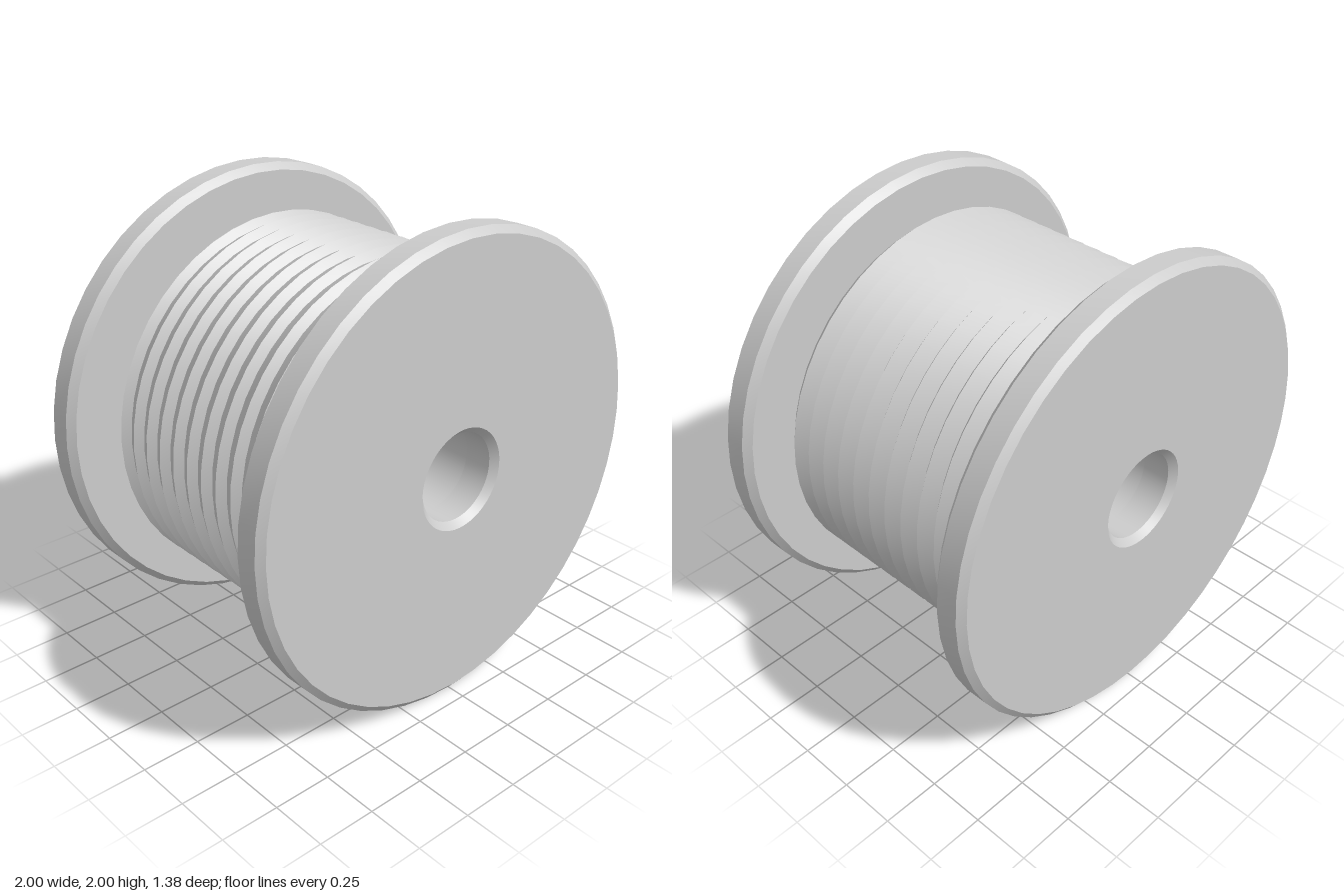
import * as THREE from 'three';
import { toCreasedNormals } from 'three/addons/utils/BufferGeometryUtils.js';

const SIDES = 48;
const BORE = 0.187;

// Turns a closed [radius, z] profile around the z axis, keeping its corners sharp.
function turned(name, profile, material) {
  const points = [...profile, profile[0]].map(([r, z]) => new THREE.Vector2(r, z));
  const geometry = new THREE.LatheGeometry(points, SIDES);
  geometry.rotateX(Math.PI / 2);
  const mesh = new THREE.Mesh(toCreasedNormals(geometry, 0.3), material);
  mesh.name = name;
  return mesh;
}

export function createModel() {
  const grey = new THREE.MeshStandardMaterial({ color: 0xcccccc });
  grey.name = 'light grey';

  const spool = new THREE.Group();
  spool.name = 'spool';

  // End flanges: chamfered rims and a countersunk bore on the outer face
  const flangeProfile = [
    [BORE, 0.54], [0.97, 0.54], [1, 0.57], [1, 0.665],
    [0.97, 0.69], [0.215, 0.69], [BORE, 0.662],
  ];
  const front = turned('frontFlange', flangeProfile, grey);
  const back = turned('backFlange', flangeProfile, grey);
  back.rotation.y = Math.PI;
  spool.add(front, back);

  // Hollow core joining the flanges
  spool.add(turned('core', [
    [BORE, -0.54], [0.46, -0.54], [0.46, 0.54], [BORE, 0.54],
  ], grey));

  // Wound thread: sawtooth ridges with a rounded back edge
  const winding = [[0.46, -0.507], [0.75, -0.507], [0.795, -0.475]];
  const ridges = 11, pitch = 0.0917;
  for (let i = 0; i < ridges; i++) {
    const z = -0.447 + i * pitch;
    winding.push([0.817, z]);
    if (i < ridges - 1) winding.push([0.785, z + 0.028]);
  }
  winding.push([0.787, 0.507], [0.46, 0.507]);
  spool.add(turned('winding', winding, grey));

  // Axle height so the rims stand on the ground
  spool.children.forEach((part) => { part.position.y = 1; });
  return spool;
}
